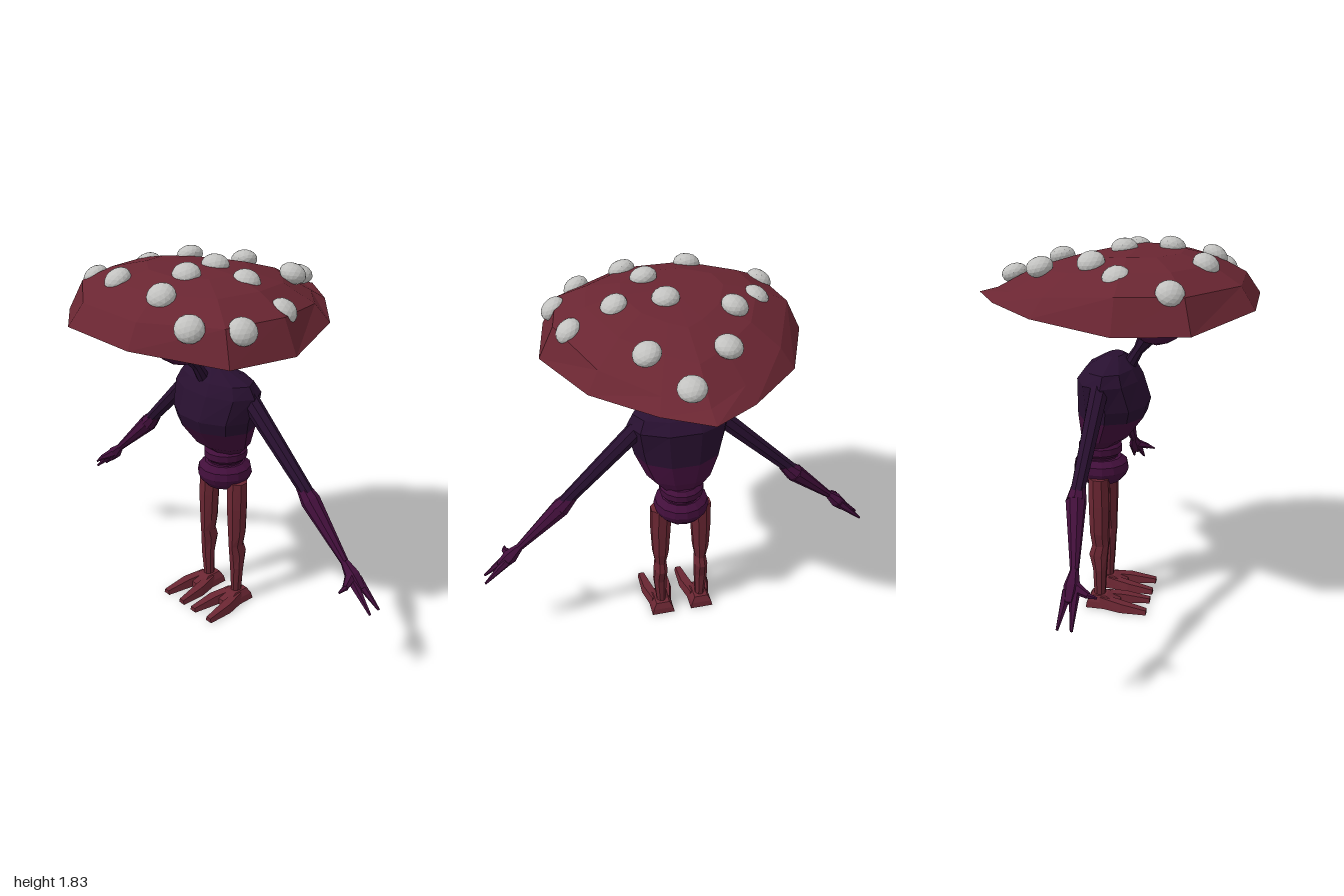
import * as THREE from 'three';

const V = (x, y, z) => new THREE.Vector3(x, y, z);
const paint = (name, color) => {
  const m = new THREE.MeshStandardMaterial({ color, flatShading: true });
  m.name = name;
  return m;
};

// Skin over stacked rings, listed from bottom to top, closed at both ends
function loft(rings, bottom, top) {
  const n = rings[0].length, pos = [], idx = [];
  rings.forEach(r => r.forEach(p => pos.push(p.x, p.y, p.z)));
  for (let k = 0; k < rings.length - 1; k++) {
    for (let i = 0; i < n; i++) {
      const a = k * n + i, b = k * n + (i + 1) % n;
      idx.push(a, b, b + n, a, b + n, a + n);
    }
  }
  const mid = r => r.reduce((s, p) => s.add(p), V(0, 0, 0)).divideScalar(n);
  const lo = bottom || mid(rings[0]), hi = top || mid(rings[rings.length - 1]);
  const c = pos.length / 3, last = (rings.length - 1) * n;
  pos.push(lo.x, lo.y, lo.z, hi.x, hi.y, hi.z);
  for (let i = 0; i < n; i++) {
    const j = (i + 1) % n;
    idx.push(c, j, i, c + 1, last + i, last + j);
  }
  const g = new THREE.BufferGeometry();
  g.setAttribute('position', new THREE.Float32BufferAttribute(pos, 3));
  g.setIndex(idx);
  const flat = g.toNonIndexed();
  flat.computeVertexNormals();
  return flat;
}

// Oval ring: centre x, height, half width, front z, back z
function oval(cx, y, hw, zf, zb, n = 10) {
  return Array.from({ length: n }, (_, i) => {
    const a = (i + 0.5) / n * Math.PI * 2;
    return V(cx + Math.sin(a) * hw, y, (zf + zb) / 2 + Math.cos(a) * (zf - zb) / 2 * 1.04);
  });
}

// Tapered rod between two points
function rod(a, b, ra, rb, sides = 8) {
  const d = b.clone().sub(a);
  const g = new THREE.CylinderGeometry(rb, ra, d.length(), sides);
  g.applyQuaternion(new THREE.Quaternion().setFromUnitVectors(V(0, 1, 0), d.clone().normalize()));
  const m = a.clone().add(b).multiplyScalar(0.5);
  return g.translate(m.x, m.y, m.z);
}

export function createModel() {
  const root = new THREE.Group();
  root.name = 'mushroomCreature';
  const red = paint('mushroomRed', 0x6a2632);
  const plum = paint('plum', 0x420f3b);
  const dark = paint('darkViolet', 0x281030);
  const pale = paint('paleSpots', 0xc2c2c0);
  const eyeGrey = paint('eyeGrey', 0xb0acaa);
  const add = (name, geo, mat, parent = root) => {
    const m = new THREE.Mesh(geo, mat);
    m.name = name;
    parent.add(m);
    return m;
  };

  // Cap: egg-shaped rim shrinking up to a low crown that slopes down at the back
  const half = [[0.21, 0.655, 1.565], [0.555, 0.42, 1.52], [0.61, 0.1, 1.515], [0.45, -0.285, 1.54], [0.2, -0.53, 1.55]];
  const rim = [...half, [0, -0.66, 1.56], ...half.slice().reverse().map(([x, z, y]) => [-x, z, y])];
  const level = (s, y) => rim.map(([x, z]) => {
    const dz = (z - 0.1) * s;
    return V(x * s, y + 0.12 * Math.min(0, dz), 0.1 + dz);
  });
  add('cap', loft([rim.map(([x, z, y]) => V(x, y, z)), level(0.88, 1.665), level(0.64, 1.742), level(0.38, 1.78)],
    V(0, 1.545, 0.1), V(0, 1.785, 0.1)), red);

  // Spots, tilted outward with the cap: x, y, z
  const spots = [[0.06, 1.645, -0.5], [-0.14, 1.71, -0.32], [0.2, 1.71, -0.3], [-0.24, 1.755, -0.06],
    [-0.38, 1.715, 0.08], [0.045, 1.78, 0.035], [0.27, 1.755, 0.06], [0.475, 1.665, 0.045], [0.1, 1.785, 0.25],
    [-0.47, 1.675, 0.32], [0.51, 1.645, 0.31], [-0.145, 1.745, 0.43], [0.165, 1.74, 0.44], [0.38, 1.66, 0.475]];
  const spotGeo = new THREE.IcosahedronGeometry(0.063, 2).scale(1, 0.72, 1);
  for (const [x, y, z] of spots) {
    const s = add('capSpot', spotGeo, pale);
    s.position.set(x, y, z);
    const out = V(x * 1.3, 0.75, (z - 0.1) * (z > 0.1 ? 1.3 : 0.4)).normalize();
    s.quaternion.setFromUnitVectors(V(0, 1, 0), out);
  }

  // Head, eyes and neck
  add('head', new THREE.IcosahedronGeometry(0.14, 2).translate(0, 1.482, 0.2), plum);
  for (const s of [-1, 1]) {
    const eye = add(s > 0 ? 'leftEye' : 'rightEye', new THREE.BoxGeometry(0.085, 0.082, 0.065), eyeGrey);
    eye.position.set(s * 0.085, 1.49, 0.318);
    eye.rotation.y = s * 0.1;
  }
  add('neck', rod(V(0, 1.2, 0.045), V(0, 1.32, 0.115), 0.035, 0.025), dark);
  add('neckTop', rod(V(0, 1.31, 0.11), V(0, 1.38, 0.155), 0.025, 0.045), dark);

  // Chest and belly
  const seam = oval(0, 1.0, 0.215, 0.15, -0.17);
  add('chest', loft([seam, oval(0, 1.06, 0.23, 0.165, -0.17), oval(0, 1.18, 0.25, 0.125, -0.17),
    oval(0, 1.235, 0.22, 0.095, -0.13), oval(0, 1.29, 0.07, 0.04, -0.04)]), dark);
  add('belly', loft([oval(0, 0.835, 0.1, 0.0, -0.15), oval(0, 0.89, 0.165, 0.07, -0.16), seam]), plum);

  // Waist and hip rings
  const lathe = pts => new THREE.LatheGeometry(pts.map(p => new THREE.Vector2(...p)), 14);
  add('waist', lathe([[0, 0.74], [0.085, 0.75], [0.09, 0.78], [0.108, 0.797], [0.108, 0.83], [0.09, 0.85], [0, 0.86]])
    .translate(0, 0, -0.075), plum);
  add('hips', lathe([[0, 0.645], [0.1, 0.65], [0.125, 0.68], [0.137, 0.71], [0.13, 0.745], [0.1, 0.77], [0, 0.77]])
    .translate(0, 0, -0.07), plum);

  for (const s of [-1, 1]) {
    const side = s > 0 ? 'left' : 'right';

    // Leg
    const leg = new THREE.Group();
    leg.name = side + 'Leg';
    root.add(leg);
    const sections = [[0.04, 0.105, 0.024, -0.03, -0.085], [0.2, 0.11, 0.036, -0.02, -0.09], [0.28, 0.107, 0.036, -0.015, -0.11],
      [0.33, 0.106, 0.03, -0.01, -0.095], [0.4, 0.106, 0.043, -0.01, -0.105], [0.55, 0.104, 0.052, -0.005, -0.11],
      [0.69, 0.1, 0.055, -0.01, -0.11]];
    add(side + 'Shin', loft(sections.map(([y, x, w, f, b]) => oval(s * x, y, w, f, b, 8))), red, leg);

    // Foot: wedge heel with two long splayed toes
    const box = (x, y, z, w, z2) => [V(x - w, y, z), V(x + w, y, z), V(x + w, y, z2), V(x - w, y, z2)];
    const cx = s * 0.105;
    add(side + 'Heel', loft([box(cx, 0, 0.05, 0.06, -0.12), box(cx, 0.03, 0.045, 0.052, -0.115),
      box(cx, 0.06, -0.02, 0.035, -0.1)]), red, leg);
    for (const t of [-1, 1]) {
      const slice = (x, z, w, h) => [V(x - w, 0, z), V(x + w, 0, z), V(x + w * 0.7, h, z), V(x - w * 0.7, h, z)];
      add(side + 'Toe', loft([slice(cx + t * 0.025, -0.05, 0.03, 0.055), slice(cx + t * 0.05, 0.06, 0.032, 0.044),
        slice(cx + t * 0.06, 0.19, 0.02, 0.022)]), red, leg);
    }

    // Arm: thin upper arm, wider forearm tapering to the wrist
    const arm = new THREE.Group();
    arm.name = side + 'Arm';
    root.add(arm);
    const z = s > 0 ? -0.05 : -0.012;
    const elbow = V(s * 0.57, 0.81, -0.055), wrist = V(s * 0.81, 0.565, z);
    add(side + 'UpperArm', rod(V(s * 0.2, 1.165, -0.035), elbow, 0.045, 0.032), dark, arm);
    add(side + 'Elbow', rod(V(s * 0.53, 0.84, -0.055), V(s * 0.59, 0.78, -0.055), 0.03, 0.046), plum, arm);
    add(side + 'Forearm', rod(V(s * 0.59, 0.78, -0.055), wrist, 0.046, 0.019), plum, arm);

    // Hand: palm, two fingers and a forward thumb
    const palm = V(s * 0.86, 0.515, z);
    add(side + 'Wrist', rod(wrist, palm, 0.019, 0.036, 6), plum, arm);
    add(side + 'Palm', rod(palm, V(s * 0.91, 0.465, z), 0.036, 0.026, 6), plum, arm);
    for (const t of [-1, 1]) {
      add(side + 'Finger', rod(V(s * 0.875, 0.5, z + t * 0.015), V(s * 0.998, 0.388, z + t * 0.03), 0.024, 0.006, 6), plum, arm);
    }
    add(side + 'Thumb', rod(V(s * 0.86, 0.515, z + 0.01), V(s * 0.885, 0.495, z + 0.075), 0.028, 0.014, 6), plum, arm);
    add(side + 'ThumbTip', rod(V(s * 0.885, 0.495, z + 0.07), V(s * 0.882, 0.485, z + 0.112), 0.014, 0.005, 6), plum, arm);
  }
  return root;
}
